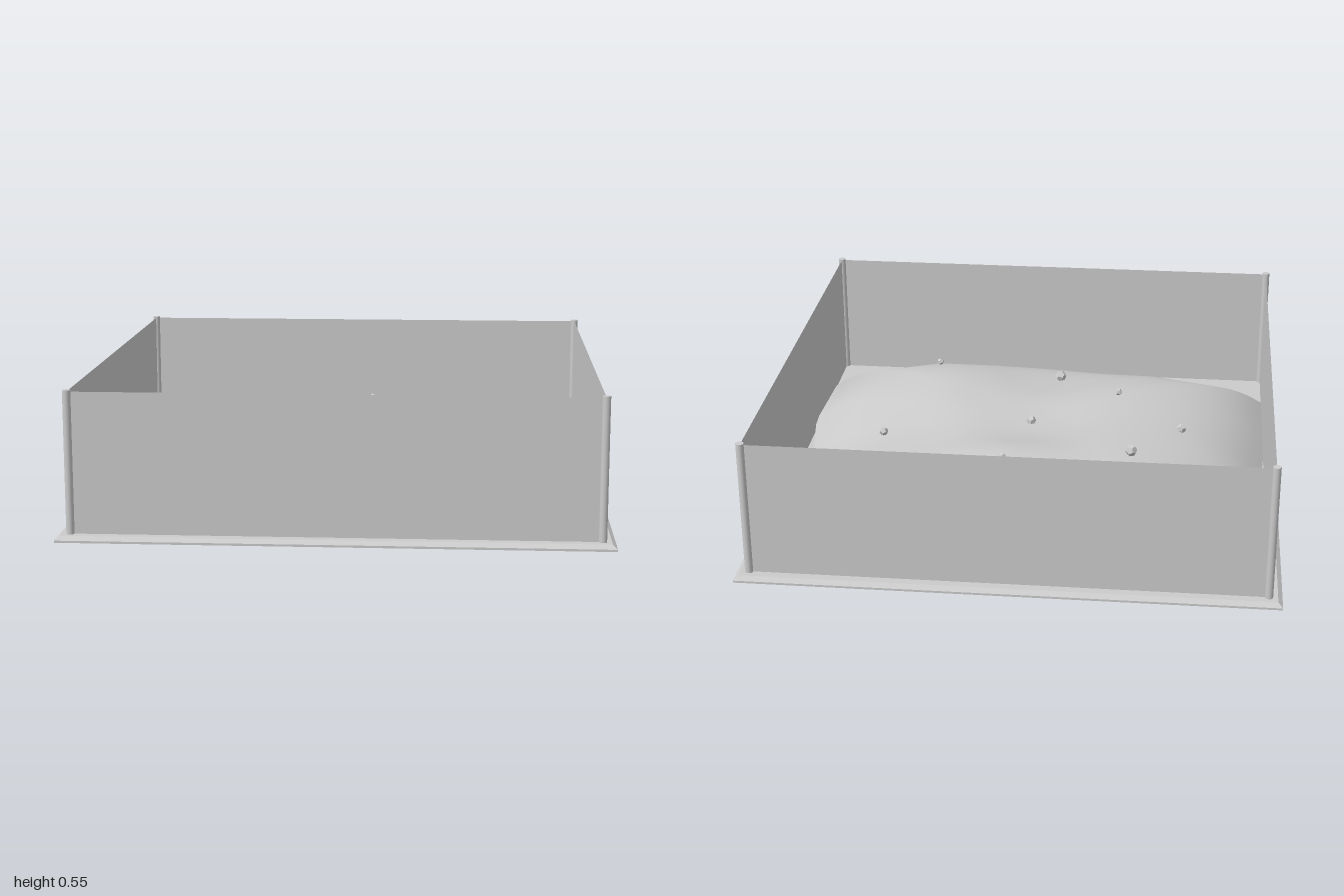
import * as THREE from 'three';

const smooth = new THREE.MeshStandardMaterial({ color: 0xcccccc });
const flat = new THREE.MeshStandardMaterial({ color: 0xcccccc, flatShading: true });
const thin = new THREE.MeshStandardMaterial({ color: 0xcccccc, side: THREE.DoubleSide });

const FLOOR = 0.022, HALF = 0.95, WALL_TOP = 0.54;

// Pebbles: x, z, radius
const PEBBLES = [
  [0, 0, 0.02], [0.07, -0.43, 0.014], [-0.42, -0.32, 0.024], [-0.61, -0.07, 0.019],
  [0.52, -0.39, 0.021], [-0.34, 0.27, 0.015], [0.59, -0.1, 0.018], [-0.08, 0.5, 0.023], [0.44, 0.48, 0.014],
];

// Sand heights at chosen spots: x, z, y
const HEIGHTS = [
  [0, 0, 0.222], [0.07, -0.43, 0.275], [-0.42, -0.32, 0.265], [-0.61, -0.07, 0.25],
  [0.52, -0.39, 0.21], [-0.34, 0.27, 0.245], [0.59, -0.1, 0.195], [-0.08, 0.5, 0.2], [0.44, 0.48, 0.26],
];

// Sand outline, every 18 degrees from +x towards +z: x, z, y
const RIM = [
  [0.91, 0, 0.04], [0.96, 0.32, 0.05], [0.95, 0.7, 0.03], [0.6, 0.81, 0.05], [0.28, 0.85, 0.05],
  [0, 0.89, 0.035], [-0.28, 0.85, 0.04], [-0.59, 0.81, 0.04], [-0.95, 0.7, 0.03], [-0.96, 0.32, 0.03],
  [-0.94, 0, 0.03], [-0.94, -0.3, 0.02], [-0.82, -0.59, 0.02], [-0.69, -0.91, 0.03], [-0.31, -0.94, 0.05],
  [0, -0.89, 0.07], [0.29, -0.88, 0.08], [0.59, -0.8, 0.06], [0.95, -0.65, 0.04], [0.89, -0.27, 0.04],
];

// Plateau height, blended from the nearby spots
function plateau(x, z) {
  let sum = 0, total = 0;
  for (const [px, pz, y] of HEIGHTS) {
    const w = 1 / ((x - px) ** 2 + (z - pz) ** 2 + 0.008) ** 1.5;
    sum += w * y;
    total += w;
  }
  return sum / total;
}

// Sand as rings from the centre to the outline, falling away near the rim
function sandGeometry() {
  const rings = 20, n = RIM.length, pos = [0, plateau(0, 0), 0], index = [];
  for (let r = 1; r <= rings; r++) {
    const t = r / rings;
    for (const [ex, ez, ey] of RIM) {
      const x = ex * t, z = ez * t;
      pos.push(x, ey + (plateau(x, z) - ey) * (1 - t ** 4.5), z);
    }
  }
  const at = (r, i) => 1 + (r - 1) * n + (i % n);
  for (let i = 0; i < n; i++) {
    index.push(0, at(1, i + 1), at(1, i));
    for (let r = 1; r < rings; r++) {
      const a = at(r, i), b = at(r, i + 1), c = at(r + 1, i + 1), d = at(r + 1, i);
      index.push(a, b, c, a, c, d);
    }
  }
  const g = new THREE.BufferGeometry();
  g.setAttribute('position', new THREE.Float32BufferAttribute(pos, 3));
  g.setIndex(index);
  g.computeVertexNormals();
  return g;
}

export function createModel() {
  const model = new THREE.Group();
  const add = (name, geometry, material, x = 0, y = 0, z = 0) => {
    const mesh = new THREE.Mesh(geometry, material);
    mesh.name = name;
    mesh.position.set(x, y, z);
    model.add(mesh);
    return mesh;
  };

  // Square base plate with a bevelled edge
  const profile = [[0, 0], [1, 0], [1, 0.008], [0.983, FLOOR], [0, FLOOR]]
    .map(([w, y]) => new THREE.Vector2(w * Math.SQRT2, y));
  add('base', new THREE.LatheGeometry(profile, 4, Math.PI / 4), flat);

  // Thin walls and corner posts
  const wall = new THREE.PlaneGeometry(2 * HALF, WALL_TOP - FLOOR);
  const postHeight = 0.546 - FLOOR;
  const post = new THREE.CylinderGeometry(0.015, 0.015, postHeight, 16);
  for (let i = 0; i < 4; i++) {
    const a = i * Math.PI / 2;
    add('wall', wall, thin, HALF * Math.sin(a), (WALL_TOP + FLOOR) / 2, HALF * Math.cos(a)).rotation.y = a;
    add('cornerPost', post, smooth, i % 2 ? HALF : -HALF, FLOOR + postHeight / 2, i < 2 ? HALF : -HALF);
  }

  // Sand bed and scattered pebbles
  add('sand', sandGeometry(), thin);
  PEBBLES.forEach(([x, z, r], i) => {
    const pebble = add('pebble', new THREE.DodecahedronGeometry(r), flat, x, plateau(x, z) + r * 0.4, z);
    pebble.rotation.set(i * 0.7, i * 1.3, 0);
  });
  return model;
}
